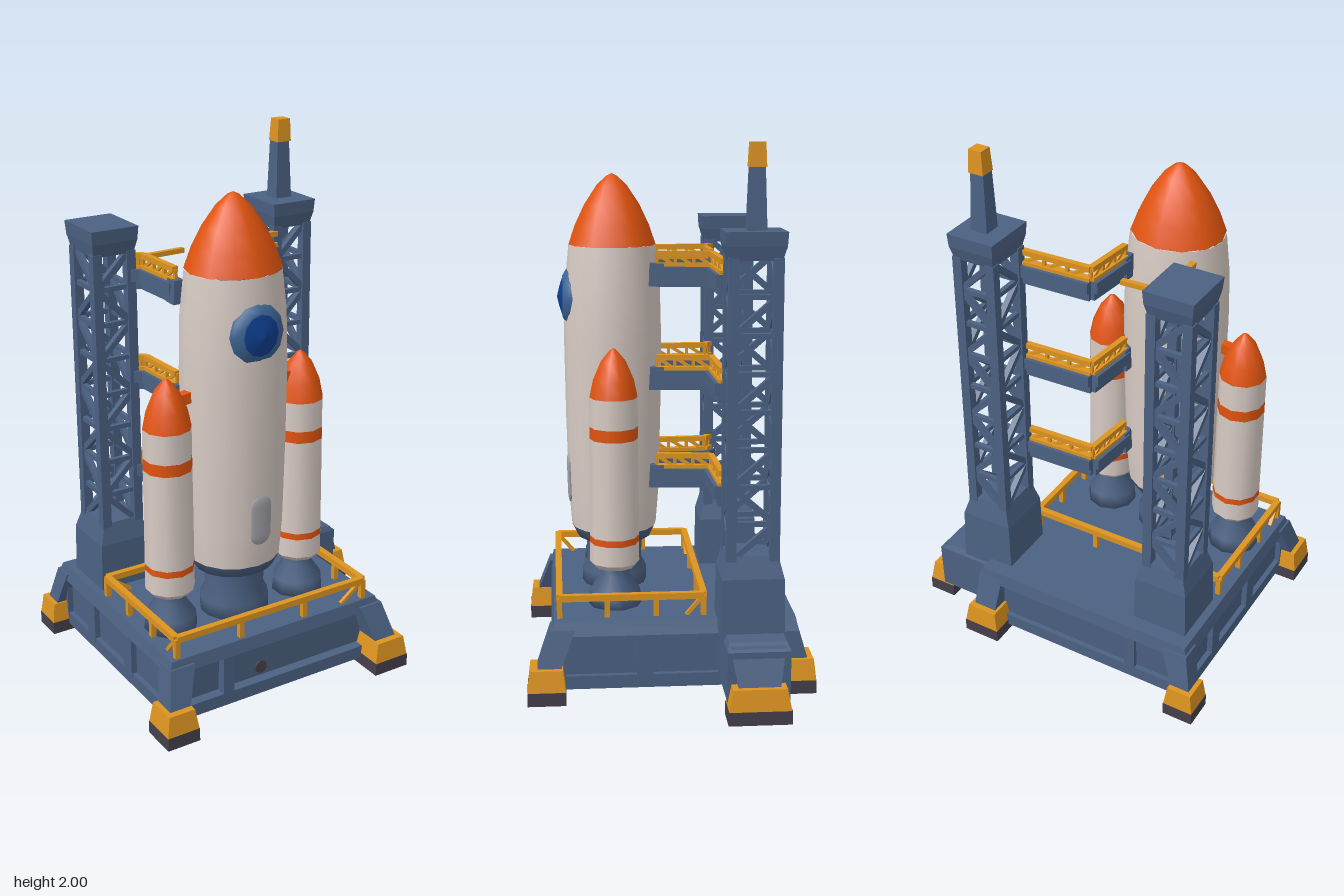
import * as THREE from 'three';
import { ConvexGeometry } from 'three/addons/geometries/ConvexGeometry.js';

const mat = (name, color) => {
  const m = new THREE.MeshStandardMaterial({ color });
  m.name = name;
  return m;
};

export function createModel() {
  const steel = mat('steel blue', 0x4b6182);
  const white = mat('hull white', 0xd8cbc4);
  const orange = mat('nose orange', 0xe2540f);
  const amber = mat('safety amber', 0xdd9420);
  const rubber = mat('foot dark', 0x453f4b);
  const ringBlue = mat('window ring blue', 0x3d6494);
  const glass = mat('window glass blue', 0x0f3f90);
  const grey = mat('hatch grey', 0xa3a1a8);

  const model = new THREE.Group();
  model.name = 'rocketLaunchPad';
  const group = (name, parent = model) => {
    const g = new THREE.Group();
    g.name = name;
    parent.add(g);
    return g;
  };
  const add = (parent, name, geo, material) => {
    const m = new THREE.Mesh(geo, material);
    m.name = name;
    parent.add(m);
    return m;
  };
  const V = (x, y, z) => new THREE.Vector3(x, y, z);

  // Solid between a lower and an upper rectangle, each [x0, x1, z0, z1]
  const hull = (parent, name, a, y0, b, y1, material) => {
    const rect = (r, y) => [V(r[0], y, r[2]), V(r[1], y, r[2]), V(r[0], y, r[3]), V(r[1], y, r[3])];
    return add(parent, name, new ConvexGeometry([...rect(a, y0), ...rect(b, y1)]), material);
  };
  // Rectangle from centre and half sizes
  const rc = (x, z, hx, hz = hx) => [x - hx, x + hx, z - hz, z + hz];
  // Straight bar between two points, in the parent's own frame
  const beam = (parent, name, a, b, w, h, material) => {
    const m = add(parent, name, new THREE.BoxGeometry(w, h, a.distanceTo(b)), material);
    m.position.copy(a).add(b).multiplyScalar(0.5);
    m.quaternion.setFromRotationMatrix(new THREE.Matrix4().lookAt(b, a, V(0, 1, 0)));
    return m;
  };
  // Turned part from [radius, y] pairs
  const lathe = (parent, name, pts, seg, material) =>
    add(parent, name, new THREE.LatheGeometry(pts.map(p => new THREE.Vector2(...p)), seg), material);

  // ---- Platform: slab, rim and recessed walls
  const base = group('platform');
  hull(base, 'lowerSlab', [-0.57, 0.34, -0.45, 0.43], 0.03, [-0.57, 0.34, -0.45, 0.43], 0.08, steel);
  hull(base, 'core', [-0.55, 0.32, -0.43, 0.39], 0.07, [-0.55, 0.32, -0.44, 0.4], 0.25, steel);
  hull(base, 'deckSlab', [-0.58, 0.35, -0.465, 0.44], 0.235, [-0.565, 0.33, -0.455, 0.43], 0.285, steel);
  for (const x of [-0.55, -0.33, 0.31])
    for (const z of [-0.43, 0.41]) hull(base, 'wallRib', rc(x, z, 0.022), 0.06, rc(x, z, 0.022), 0.25, steel);
  for (const x of [-0.56, 0.33])
    for (const z of [-0.2, 0.1]) hull(base, 'sideRib', rc(x, z, 0.012, 0.03), 0.06, rc(x, z, 0.012, 0.03), 0.25, steel);
  const port = add(base, 'frontPort', new THREE.CylinderGeometry(0.025, 0.025, 0.008, 10), rubber);
  port.rotation.x = Math.PI / 2;
  port.position.set(-0.17, 0.12, 0.397);

  // ---- Feet with legs running to the platform corners
  const foot = (x, z, hx, hz, top) => {
    const g = group('foot');
    hull(g, 'footPad', rc(x, z, hx, hz), 0, rc(x, z, hx, hz), 0.05, rubber);
    hull(g, 'footCap', rc(x, z, hx * 0.98, hz * 0.98), 0.05, rc(x, z, hx * 0.8, hz * 0.85), 0.128, amber);
    hull(g, 'leg', rc(x, z, hx * 0.62, hz * 0.62), 0.1, top, 0.26, steel);
  };
  foot(-0.58, -0.47, 0.06, 0.06, rc(-0.53, -0.43, 0.05, 0.04));
  foot(0.3, -0.47, 0.075, 0.06, rc(0.29, -0.42, 0.05, 0.04));
  foot(-0.578, 0.46, 0.065, 0.07, rc(-0.53, 0.4, 0.05, 0.045));
  foot(0.345, 0.46, 0.075, 0.07, rc(0.3, 0.4, 0.05, 0.045));
  foot(0.585, -0.285, 0.055, 0.113, [0.42, 0.56, -0.385, -0.185]);
  hull(base, 'outrigger', [0.3, 0.57, -0.4, -0.175], 0.06, [0.3, 0.575, -0.4, -0.175], 0.245, steel);
  hull(base, 'outriggerTop', [0.3, 0.575, -0.4, -0.175], 0.245, [0.3, 0.535, -0.39, -0.185], 0.268, steel);

  // ---- Deck railing
  const rails = group('deckRailing');
  const [rx0, rx1, rz0, rz1] = [-0.535, 0.28, -0.12, 0.41];
  const corners = [[rx0, rz0], [rx1, rz0], [rx1, rz1], [rx0, rz1]];
  corners.forEach(([x, z], i) => {
    const [x2, z2] = corners[(i + 1) % 4];
    beam(rails, 'topRail', V(x, 0.36, z), V(x2, 0.36, z2), 0.024, 0.024, amber);
    for (const t of [0, 0.33, 0.67]) {
      const px = x + (x2 - x) * t, pz = z + (z2 - z) * t;
      beam(rails, 'railPost', V(px, 0.28, pz), V(px, 0.36, pz), 0.02, 0.02, amber);
    }
    beam(rails, 'railBrace', V(x, 0.36, z), V(x + (x2 - x) * 0.12, 0.285, z + (z2 - z) * 0.12), 0.014, 0.014, amber);
  });

  // ---- Rocket
  const rocket = group('rocket');
  rocket.position.set(-0.158, 0, 0.19);
  const core = group('mainStage', rocket);
  core.scale.set(1.02, 1, 0.96);
  lathe(core, 'engine', [[0, 0.27], [0.13, 0.27], [0.13, 0.34], [0.11, 0.38], [0.115, 0.49]], 14, steel);
  lathe(core, 'skirt', [[0, 0.475], [0.15, 0.475], [0.171, 0.518]], 16, steel);
  lathe(core, 'body', [[0.171, 0.518], [0.182, 0.65], [0.19, 0.95], [0.194, 1.25], [0.189, 1.45], [0.172, 1.61]], 16, white);
  lathe(core, 'noseCone', [[0.172, 1.61], [0.145, 1.685], [0.108, 1.76], [0.06, 1.83], [0.022, 1.865], [0, 1.875]], 12, orange);

  // Round window with a domed pane
  const win = group('window', rocket);
  win.position.set(-0.005, 1.412, 0.15);
  win.rotation.x = Math.PI / 2;
  win.scale.z = 1.08;
  lathe(win, 'windowRing', [[0.105, 0], [0.102, 0.022], [0.074, 0.04], [0.068, 0.04]], 12, ringBlue);
  lathe(win, 'windowPane', [[0.073, 0.039], [0.035, 0.052], [0, 0.061]], 12, glass);
  const hatch = add(rocket, 'hatch', new THREE.CapsuleGeometry(0.043, 0.11, 6, 14), grey);
  hatch.scale.z = 0.22;
  hatch.rotation.x = 0.025;
  hatch.position.set(0.008, 0.705, 0.1715);

  // ---- Side boosters
  for (const s of [-1, 1]) {
    const b = group(s < 0 ? 'rightBooster' : 'leftBooster', rocket);
    b.position.set(s * 0.281, 0, 0.01);
    lathe(b, 'nozzle', [[0, 0.28], [0.1, 0.28], [0.095, 0.34], [0.055, 0.4], [0.06, 0.45]], 10, steel);
    const r = y => 0.092 - 0.006 * (y - 0.5);
    const bands = [[0.45, 0.525, white], [0.525, 0.55, orange], [0.55, 0.92, white], [0.92, 0.965, orange], [0.965, 1.075, white]];
    lathe(b, 'boosterBase', [[0, 0.43], [0.075, 0.43], [r(0.45), 0.45]], 10, white);
    for (const [y0, y1, m] of bands)
      lathe(b, m === white ? 'boosterHull' : 'boosterStripe', [[r(y0), y0], [r(y1), y1]], 10, m);
    lathe(b, 'boosterNose', [[r(1.075), 1.075], [0.075, 1.14], [0.045, 1.21], [0.012, 1.25], [0, 1.257]], 10, orange);
    beam(b, 'boosterStrut', V(-s * 0.04, 1.165, 0), V(-s * 0.11, 1.175, 0), 0.035, 0.04, orange);
  }

  // ---- Lattice towers
  const tower = (name, cx, cz) => {
    const g = group(name);
    g.position.set(cx, 0, cz);
    const hx = 0.068, hz = 0.078, y0 = 0.53, y1 = 1.61, n = 8;
    hull(g, 'pedestal', rc(0, 0, 0.11, 0.115), 0.25, rc(0, 0, 0.104, 0.112), 0.47, steel);
    hull(g, 'pedestalTop', rc(0, 0, 0.104, 0.112), 0.47, rc(0, 0, 0.08, 0.092), 0.55, steel);
    hull(g, 'capCollar', rc(0, 0, 0.08, 0.09), 1.6, rc(0, 0, 0.09, 0.105), 1.65, steel);
    hull(g, 'cap', rc(0, 0, 0.09, 0.105), 1.65, rc(0, 0, 0.094, 0.108), 1.7, steel);
    const c = [[-hx, -hz], [hx, -hz], [hx, hz], [-hx, hz]];
    c.forEach(([x, z], k) => {
      beam(g, 'post', V(x, y0, z), V(x, y1, z), 0.036, 0.036, steel);
      const [x2, z2] = c[(k + 1) % 4];
      for (let i = 0; i < n; i++) {
        const a = y0 + (y1 - y0) * i / n, b = y0 + (y1 - y0) * (i + 1) / n;
        beam(g, 'crossBar', V(x, a, z), V(x2, a, z2), 0.018, 0.018, steel);
        const flip = (i + k) % 2;
        beam(g, 'diagonal', V(x, flip ? b : a, z), V(x2, flip ? a : b, z2), 0.022, 0.022, steel);
      }
    });
    return g;
  };
  const mastTower = tower('leftTower', 0.345, -0.28);
  tower('rightTower', -0.425, -0.28);
  hull(mastTower, 'mast', rc(0.005, -0.008, 0.034), 1.69, rc(0.005, -0.008, 0.026), 1.92, steel);
  hull(mastTower, 'mastTip', rc(0.007, -0.008, 0.03), 1.915, rc(0.009, -0.008, 0.026), 2, amber);

  // ---- Access arms: bent walkway with a railing on top
  const arm = (name, y, path) => {
    const g = group(name);
    for (let i = 0; i < path.length - 1; i++) {
      const [a, b] = [path[i], path[i + 1]].map(p => V(p[0], y, p[1]));
      const up = h => [a.clone().setY(y + h), b.clone().setY(y + h)];
      beam(g, 'walkway', ...up(-0.025), 0.055, 0.045, steel);
      beam(g, 'lowerChord', ...up(-0.06), 0.03, 0.035, steel);
      beam(g, 'handRail', ...up(0.045), 0.022, 0.02, amber);
      beam(g, 'kickRail', ...up(0.004), 0.028, 0.014, amber);
      for (let k = 0; k < 3; k++) {
        const p = a.clone().lerp(b, k / 3), q = a.clone().lerp(b, (k + 1) / 3);
        beam(g, 'railStay', p.clone().setY(y), q.clone().setY(y + 0.045), 0.012, 0.012, amber);
        beam(g, 'railPost', q.clone().setY(y), q.clone().setY(y + 0.045), 0.012, 0.012, amber);
      }
    }
    const [ex, ez] = path[path.length - 1];
    hull(g, 'armClamp', rc(ex, ez, 0.026, 0.03), y - 0.075, rc(ex, ez, 0.02, 0.025), y + 0.01, steel);
  };
  for (const y of [1.54, 1.15, 0.77]) {
    arm('leftAccessArm', y, [[0.27, -0.185], [-0.01, -0.175], [-0.03, 0.03]]);
    arm('rightAccessArm', y, [[-0.345, -0.205], [-0.31, -0.18], [-0.3, 0.035]]);
  }
  // Short end rail beside the right arm
  beam(model, 'armEndRail', V(-0.31, 1.58, -0.18), V(-0.14, 1.58, -0.187), 0.02, 0.018, amber);

  return model;
}
